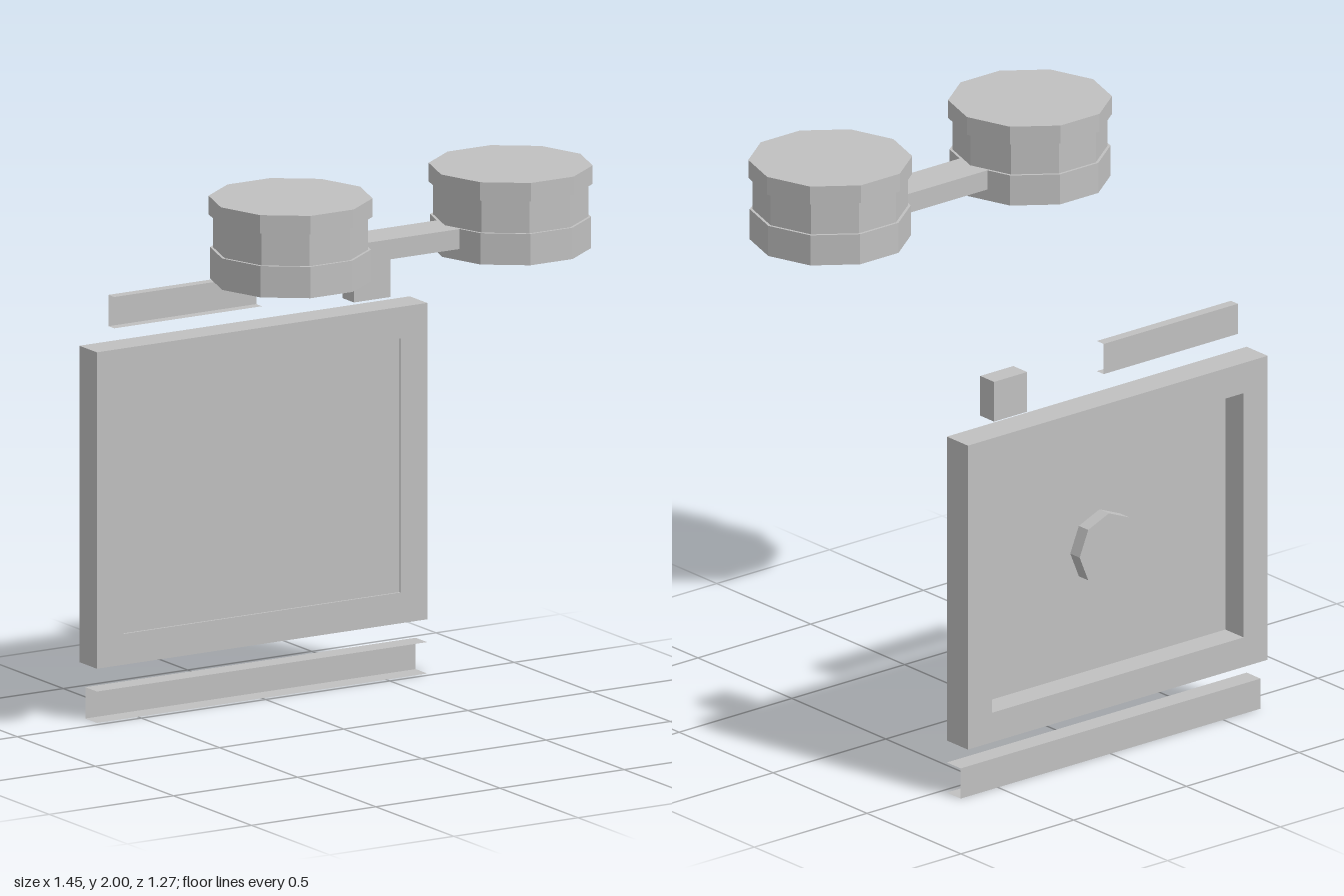
import * as THREE from 'three';

export function createModel() {
  const model = new THREE.Group();
  const grey = new THREE.MeshStandardMaterial({ color: 0xc0c0c0, flatShading: true });
  grey.name = 'grey';
  const greySheet = new THREE.MeshStandardMaterial({ color: 0xc0c0c0, flatShading: true, side: THREE.DoubleSide });
  greySheet.name = 'greySheet';

  const add = (name, geometry, parent = model, material = grey) => {
    const mesh = new THREE.Mesh(geometry, material);
    mesh.name = name;
    parent.add(mesh);
    return mesh;
  };

  // Box given by its lowest and highest corners
  const box = (name, [x0, y0, z0], [x1, y1, z1]) =>
    add(name, new THREE.BoxGeometry(x1 - x0, y1 - y0, z1 - z0))
      .position.set((x0 + x1) / 2, (y0 + y1) / 2, (z0 + z1) / 2);

  // Thin channel with a web at the back and flanges reaching forward
  const channel = (name, x0, x1, y0, y1, back, front) => {
    const group = new THREE.Group();
    group.name = name;
    const cx = (x0 + x1) / 2;
    add('web', new THREE.PlaneGeometry(x1 - x0, y1 - y0), group, greySheet)
      .position.set(cx, (y0 + y1) / 2, back);
    for (const [part, y] of [['lowerFlange', y0], ['upperFlange', y1]]) {
      const flange = add(part, new THREE.PlaneGeometry(x1 - x0, front - back), group, greySheet);
      flange.rotation.x = -Math.PI / 2;
      flange.position.set(cx, y, (back + front) / 2);
    }
    model.add(group);
  };

  // Two ten-sided drums joined by a bar
  const bands = [
    ['drumBase', 0.275, 1.71, 1.82],
    ['drumWaist', 0.265, 1.82, 1.935],
    ['drumCap', 0.28, 1.935, 2],
  ];
  for (const side of [-1, 1]) {
    const drum = new THREE.Group();
    drum.name = side > 0 ? 'leftDrum' : 'rightDrum';
    drum.position.set(side * 0.443, 0, 0.364);
    for (const [name, r, y0, y1] of bands) {
      add(name, new THREE.CylinderGeometry(r, r, y1 - y0, 10, 1, false, Math.PI / 2), drum)
        .position.y = (y0 + y1) / 2;
    }
    model.add(drum);
  }
  box('connectingBar', [-0.25, 1.75, 0.29], [0.25, 1.82, 0.437]);

  // Square frame with a panel set near its front
  const outline = new THREE.Shape([[-0.665, 0.19], [0.665, 0.19], [0.665, 1.3], [-0.665, 1.3]]
    .map(([x, y]) => new THREE.Vector2(x, y)));
  outline.holes.push(new THREE.Path([[-0.558, 0.298], [-0.558, 1.19], [0.558, 1.19], [0.558, 0.298]]
    .map(([x, y]) => new THREE.Vector2(x, y))));
  add('frame', new THREE.ExtrudeGeometry(outline, { depth: 0.112, bevelEnabled: false }))
    .position.z = -0.635;
  box('panel', [-0.558, 0.298, -0.538], [0.558, 1.19, -0.531]);

  // Knob on the back of the panel
  const knob = add('knob', new THREE.CylinderGeometry(0.13, 0.13, 0.05, 8));
  knob.rotation.x = Math.PI / 2;
  knob.position.set(0, 0.745, -0.563);

  // Strips above and below the frame, and a small block
  channel('lowerStrip', -0.665, 0.665, 0, 0.11, -0.597, -0.523);
  channel('upperStrip', -0.595, 0, 1.375, 1.485, -0.56, -0.523);
  box('block', [0.37, 1.34, -0.597], [0.517, 1.485, -0.523]);

  return model;
}
